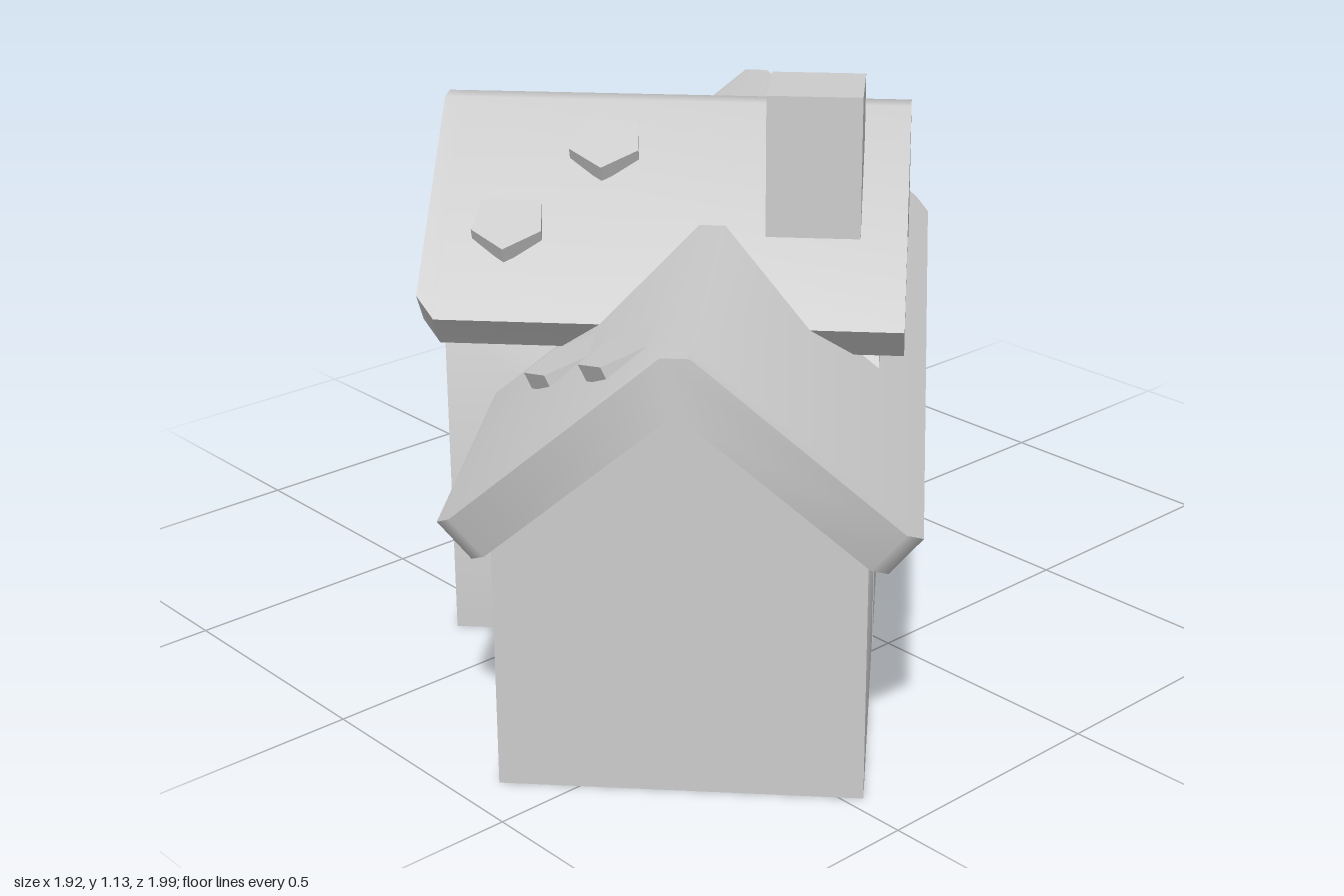
import * as THREE from 'three';
import { toCreasedNormals } from 'three/addons/utils/BufferGeometryUtils.js';

const SLOPE = 0.84;   // roof rise over run
const WALL = 0.335;   // half width of each wing

const plaster = new THREE.MeshStandardMaterial({ color: 0xcccccc, side: THREE.DoubleSide });
plaster.name = 'pale grey';

function part(name, geometry) {
  const mesh = new THREE.Mesh(geometry, plaster);
  mesh.name = name;
  return mesh;
}

// Joins equal outlines {z, ring: [[x, y], ...]} along z and caps both ends.
// With openBottom the edge from the last point to the first is left out.
function loft(sections, openBottom) {
  const pos = [];
  const n = sections[0].ring.length;
  const put = (s, i) => pos.push(s.ring[i % n][0], s.ring[i % n][1], s.z);
  for (let k = 0; k + 1 < sections.length; k++) {
    const a = sections[k], b = sections[k + 1];
    for (let i = 0; i < (openBottom ? n - 1 : n); i++) {
      put(a, i); put(a, i + 1); put(b, i + 1);
      put(a, i); put(b, i + 1); put(b, i);
    }
  }
  const first = sections[0], last = sections[sections.length - 1];
  const capOf = (s) => THREE.ShapeUtils.triangulateShape(s.ring.map(p => new THREE.Vector2(...p)), []);
  for (const [a, b, c] of capOf(first)) { put(first, a); put(first, c); put(first, b); }
  for (const [a, b, c] of capOf(last)) { put(last, a); put(last, b); put(last, c); }
  const g = new THREE.BufferGeometry();
  g.setAttribute('position', new THREE.Float32BufferAttribute(pos, 3));
  return toCreasedNormals(g, 1.0);
}

// Roof height at distance x from the ridge
const roofY = (x, lift) => 0.886 + lift - SLOPE * Math.abs(x);

// Thick gable roof outline with a blunt ridge, counter-clockwise
function roofRing(eave, lift) {
  const top = roofY(eave, lift), ridge = roofY(0.026, lift);
  return [
    [eave - 0.06, top - 0.07], [eave, top], [0.026, ridge],
    [-0.026, ridge], [-eave, top], [-eave + 0.06, top - 0.07], [0, 0.762 + lift],
  ];
}

// Hollow gabled walls, open underneath
function walls(z0, z1, lift) {
  const e = 0.772 + lift - SLOPE * WALL;
  const ring = [[WALL, 0], [WALL, e], [0, 0.772 + lift], [-WALL, e], [-WALL, 0]];
  return loft([{ z: z0, ring }, { z: z1, ring }], true);
}

function roof(stations, lift) {
  return loft(stations.map(([z, eave]) => ({ z, ring: roofRing(eave, lift) })), false);
}

// Pointed roof tile, flush at its upper edge and lifted at its tip
function tile(side, run, z, lift) {
  const s = new THREE.Shape();
  s.moveTo(-0.06, 0);
  s.lineTo(-0.07, -0.09);
  s.lineTo(0, -0.145);
  s.lineTo(0.07, -0.09);
  s.lineTo(0.06, 0);
  const g = new THREE.ExtrudeGeometry(s, { depth: 0.035, bevelEnabled: false });
  g.translate(0, 0, -0.035);
  g.rotateX(-THREE.MathUtils.degToRad(65));
  g.rotateY(side * Math.PI / 2);
  const x = run - 0.065;
  g.translate(side * x, roofY(x, lift), z);
  return part('roofTile', g);
}

export function createModel() {
  const model = new THREE.Group();
  model.name = 'house';
  const house = new THREE.Group();
  house.name = 'building';
  house.rotation.y = THREE.MathUtils.degToRad(42.5);
  model.add(house);

  // Long main wing
  const main = new THREE.Group();
  main.name = 'mainWing';
  main.add(part('mainWalls', walls(-0.943, 0.943, 0)));
  main.add(part('mainRoof', roof([[-0.985, 0.4], [-0.943, 0.43], [0.943, 0.43], [0.985, 0.4]], 0)));
  for (const z of [-0.047, 0.047]) {
    const g = new THREE.PlaneGeometry(2 * WALL, 0.48);
    g.translate(0, 0.24, z);
    main.add(part('innerWall', g));
  }
  for (const [z, run] of [[-0.809, 0.12], [-0.558, 0.276], [0.54, 0.269], [0.79, 0.128]]) {
    main.add(tile(-1, run, z, 0));
  }
  house.add(main);

  // Taller wing crossing it, with the entrance gable
  const lift = 0.19;
  const cross = new THREE.Group();
  cross.name = 'entranceWing';
  cross.rotation.y = -Math.PI / 2;
  cross.add(part('entranceWalls', walls(-0.336, 0.527, lift)));
  cross.add(part('entranceRoof', roof([[-0.385, 0.43], [0.53, 0.43], [0.57, 0.39]], lift)));
  for (const [run, z] of [[0.13, 0.228], [0.28, 0.405]]) cross.add(tile(1, run, z, lift));

  // Arched door
  const arch = new THREE.Shape();
  arch.moveTo(-0.135, 0);
  arch.lineTo(0.135, 0);
  arch.lineTo(0.135, 0.27);
  arch.absarc(0, 0.27, 0.135, 0, Math.PI, false);
  const door = part('door', new THREE.ExtrudeGeometry(arch, { depth: 0.009, bevelEnabled: false, curveSegments: 10 }));
  door.position.z = 0.527;
  cross.add(door);

  // Eight-sided window
  const pane = new THREE.CylinderGeometry(0.135, 0.135, 0.009, 8);
  pane.rotateX(Math.PI / 2);
  const gableWindow = part('gableWindow', pane);
  gableWindow.position.set(0, 0.65, 0.5315);
  cross.add(gableWindow);
  house.add(cross);

  // Chimney
  const chimney = part('chimney', new THREE.BoxGeometry(0.187, 0.335, 0.187));
  chimney.position.set(0.2, 0.9675, 0.177);
  house.add(chimney);

  return model;
}
